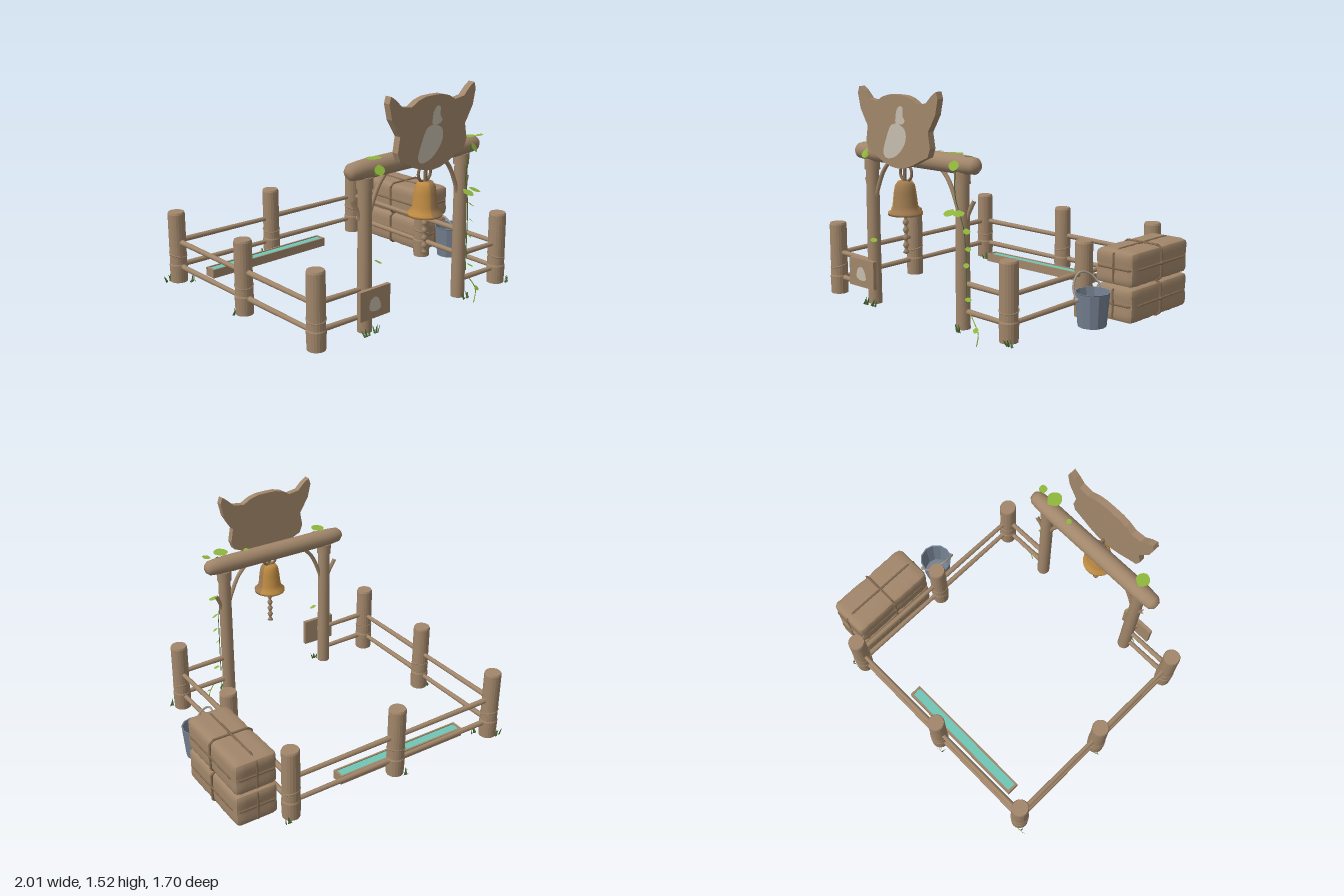
import * as THREE from 'three';

const mat = (name, color, side = THREE.FrontSide) => {
  const m = new THREE.MeshStandardMaterial({ color, side });
  m.name = name;
  return m;
};
const V = (x, y, z) => new THREE.Vector3(x, y, z);

export function createModel() {
  const root = new THREE.Group();
  root.name = 'bellGateFence';
  const wood = mat('wood', 0xa1866a);
  const rope = mat('rope', 0x836a50);
  const paint = mat('worn paint', 0xc6bdac, THREE.DoubleSide);
  const gold = mat('bronze gold', 0xbd8a42, THREE.DoubleSide);
  const bronze = mat('aged bronze', 0x9f7b50, THREE.DoubleSide);
  const metal = mat('bucket metal', 0x748090, THREE.DoubleSide);
  const handleMat = mat('handle', 0xa59c90);
  const water = mat('water', 0x70c6b6);
  const leafMat = mat('leaf green', 0x8fb53c, THREE.DoubleSide);
  const grassMat = mat('grass green', 0x4d7034, THREE.DoubleSide);

  const add = (name, geo, material, x = 0, y = 0, z = 0, parent = root) => {
    const m = new THREE.Mesh(geo, material);
    m.name = name;
    m.position.set(x, y, z);
    parent.add(m);
    return m;
  };
  // Round rod between two points
  const rod = (name, a, b, ra, rb = ra, material = wood, sides = 12) => {
    const d = b.clone().sub(a);
    const m = add(name, new THREE.CylinderGeometry(rb, ra, d.length(), sides), material);
    m.position.copy(a).lerp(b, 0.5);
    m.quaternion.setFromUnitVectors(V(0, 1, 0), d.normalize());
    return m;
  };
  const tube = (name, pts, r, material, closed = false) =>
    add(name, new THREE.TubeGeometry(new THREE.CatmullRomCurve3(pts, closed), 24, r, 7, closed), material);
  const outline = pts => new THREE.Shape(pts.map(p => new THREE.Vector2(p[0], p[1])));
  const smooth = pts => {
    const s = new THREE.Shape();
    const v = pts.map(p => new THREE.Vector2(p[0], p[1]));
    s.moveTo(v[0].x, v[0].y);
    s.splineThru([...v.slice(1), v[0]]);
    return s;
  };

  // Fence posts with a chamfered top and a tilted bark band
  const L = -0.915, R = 0.655, M = -0.13, B = -0.77, C = 0.025, F = 0.67;
  const posts = [[L, B], [M, B], [R, B], [L, -C], [R, -C], [L, F], [R, F]];
  const postProfile = [[0, 0.08], [0.057, 0.08], [0.061, 0.2], [0.057, 0.21], [0.057, 0.555], [0.052, 0.568], [0, 0.568]]
    .map(p => new THREE.Vector2(...p));
  posts.forEach(([x, z], i) => {
    const p = add('fencePost', new THREE.LatheGeometry(postProfile, 20), wood, x, 0, z);
    p.geometry = p.geometry.toNonIndexed();
    p.geometry.computeVertexNormals();
    const band = add('barkBand', new THREE.TorusGeometry(0.056, 0.006, 5, 20), wood, x, 0.27, z);
    band.rotation.set(Math.PI / 2 + 0.2, i % 2 ? 0.15 : -0.15, 0);
  });

  // Two rails on every side, open at the gate
  const spans = [[L, B, M, B], [M, B, R, B], [L, B, L, -C], [L, -C, L, F], [R, B, R, -C], [R, -C, R, F],
    [L, F, -0.54, F], [0.28, F, R, F]];
  for (const [x1, z1, x2, z2] of spans)
    for (const y of [0.36, 0.187]) rod('rail', V(x1, y + 0.004, z1), V(x2, y - 0.004, z2), 0.019, 0.015, wood, 9);

  // Gate posts, collars, curved braces and branch stubs
  for (const [x, s] of [[-0.54, 1], [0.28, -1]]) {
    rod('gatePost', V(x, 0.08, F), V(x, 1.06, F), 0.045, 0.042, wood, 16);
    rod('gateCollar', V(x, 0.97, F), V(x, 1.04, F), 0.05, 0.05, wood, 16);
    tube('gateBrace', [V(x + s * 0.02, 0.76, F), V(x + s * 0.06, 0.87, F), V(x + s * 0.11, 0.97, F), V(x + s * 0.18, 1.05, F)], 0.014, wood);
    const drop = s > 0 ? 0 : -0.03;
    tube('branchStub', [V(x - s * 0.02, 0.75 + drop, F), V(x - s * 0.045, 0.83 + drop, F - 0.01), V(x - s * 0.08, 0.905 + drop, F - 0.02)], 0.014, wood);
  }

  // Gate beam with rounded ends
  const beamProfile = [[0, -0.55], [0.03, -0.545], [0.05, -0.52], [0.056, -0.46], [0.06, -0.39], [0.06, 0.39],
    [0.056, 0.46], [0.05, 0.52], [0.03, 0.545], [0, 0.55]].map(p => new THREE.Vector2(...p));
  add('gateBeam', new THREE.LatheGeometry(beamProfile, 20), wood, M, 1.085, F).rotation.z = -Math.PI / 2;

  // Horned sign board: half outline mirrored
  const half = [[0, 1.481], [0.07, 1.479], [0.129, 1.463], [0.182, 1.433], [0.257, 1.444], [0.305, 1.49], [0.345, 1.516], [0.359, 1.475],
    [0.337, 1.38], [0.295, 1.31], [0.272, 1.275], [0.289, 1.18], [0.268, 1.125], [0.209, 1.1], [0.129, 1.062], [0.06, 1.04], [0, 1.034]];
  const board = [...half, ...half.slice(1, -1).reverse().map(([x, y]) => [-x, y])].map(([x, y]) => [x + M, y]);
  add('signBoard', new THREE.ExtrudeGeometry(outline(board), { depth: 0.045, bevelEnabled: false }), wood, 0, 0, 0.77);
  const patches = [
    [0.816, [[-0.23, 1.208], [-0.187, 1.289], [-0.123, 1.305], [-0.059, 1.273], [-0.053, 1.208], [-0.096, 1.144], [-0.16, 1.1], [-0.23, 1.09], [-0.257, 1.128]]],
    [0.816, [[-0.134, 1.38], [-0.107, 1.412], [-0.075, 1.406], [-0.075, 1.358], [-0.059, 1.326], [-0.086, 1.305], [-0.139, 1.31]]],
    [0.776, [[-0.588, 0.321], [-0.551, 0.337], [-0.519, 0.31], [-0.508, 0.257], [-0.556, 0.246], [-0.599, 0.267]]]];
  for (const [z, pts] of patches) add('paintPatch', new THREE.ShapeGeometry(smooth(pts)), paint, 0, 0, z);

  // Notice board on the gate post
  add('noticeBoard', new THREE.BoxGeometry(0.24, 0.185, 0.026), wood, -0.55, 0.295, 0.762);
  add('noticePeg', new THREE.BoxGeometry(0.03, 0.03, 0.05), wood, -0.55, 0.31, 0.73);

  // Bell in two tones, hanging ring and knotted pull
  const bz = 0.757;
  const bellProfile = [[0, 0.952], [0.045, 0.95], [0.062, 0.925], [0.07, 0.88], [0.079, 0.8], [0.092, 0.768], [0.109, 0.757], [0.107, 0.742], [0.09, 0.744], [0.07, 0.8], [0, 0.92]]
    .reverse().map(p => new THREE.Vector2(...p));
  const a = Math.PI / 180;
  add('bellFront', new THREE.LatheGeometry(bellProfile, 7, -20 * a, 130 * a), bronze, M, 0, bz);
  add('bellBack', new THREE.LatheGeometry(bellProfile, 12, 110 * a, 230 * a), gold, M, 0, bz);
  add('bellRing', new THREE.TorusGeometry(0.052, 0.009, 8, 24), rope, M, 1.0, bz - 0.01);
  rod('bellHanger', V(M, 0.94, bz), V(M, 1.1, bz), 0.011, 0.011, rope, 8);
  rod('bellHook', V(M, 1.09, bz), V(M, 1.09, F), 0.011, 0.011, rope, 8);
  const pull = [];
  for (let i = 0; i <= 24; i++) pull.push(new THREE.Vector2(0.014 + 0.006 * Math.cos(i * Math.PI / 2), 0.5 + i * 0.012));
  add('bellPull', new THREE.LatheGeometry([new THREE.Vector2(0, 0.49), ...pull], 10), wood, M, 0, bz);

  // Water trough
  const tx = -0.25, tz = -0.66;
  add('troughFloor', new THREE.BoxGeometry(0.98, 0.045, 0.08), wood, tx, 0.1125, tz);
  for (const s of [-1, 1]) {
    add('troughSide', new THREE.BoxGeometry(0.985, 0.06, 0.012), wood, tx, 0.12, tz + s * 0.037);
    add('troughEnd', new THREE.BoxGeometry(0.015, 0.06, 0.085), wood, tx + s * 0.484, 0.12, tz);
  }
  add('troughWater', new THREE.BoxGeometry(0.955, 0.008, 0.064), water, tx, 0.14, tz);

  // Two stacked bales, rounded and pinched where the ropes run
  const bx = 0.842, bzc = -0.39;
  for (const y of [0.182, 0.411]) {
    const h = [0.147, 0.114, 0.31];
    const g = new THREE.BoxGeometry(2, 2, 2, 8, 8, 16);
    const p = g.attributes.position;
    for (let i = 0; i < p.count; i++) {
      const v = [p.getX(i), p.getY(i), p.getZ(i)];
      const inner = v.map((c, k) => THREE.MathUtils.clamp(c * h[k], -h[k] + 0.035, h[k] - 0.035));
      const d = V(...v.map((c, k) => c * h[k] - inner[k]));
      if (d.length() > 0) d.setLength(0.035);
      const q = V(...inner).add(d);
      const lump = 1 - 0.04 * Math.exp(-((q.z / 0.04) ** 2)) - 0.02 * Math.sin(q.z * 37 + y * 9) ** 2;
      p.setXYZ(i, q.x * lump, q.y * lump, q.z * (1 - 0.02 * Math.exp(-((q.y / 0.03) ** 2))));
    }
    g.computeVertexNormals();
    add('bale', g, wood, bx, y, bzc);
    // Rope loops: round the waist, across and lengthwise
    const loop = (u, w, f) => [[1, 0.8], [0.8, 1], [-0.8, 1], [-1, 0.8], [-1, -0.8], [-0.8, -1], [0.8, -1], [1, -0.8]].map(([i, j]) => f(i * u, j * w));
    const bind = pts => pts.forEach((q, i) => rod('baleRope', q, pts[(i + 1) % pts.length], 0.008, 0.008, rope, 6));
    bind(loop(0.145, 0.305, (x, z) => V(bx + x, y, bzc + z)));
    bind(loop(0.145, 0.113, (x, dy) => V(bx + x, y + dy, bzc)));
    bind(loop(0.113, 0.308, (dy, z) => V(bx, y + dy, bzc + z)));
    for (const s of [-1, 1]) add('ropeKnot', new THREE.SphereGeometry(0.014, 8, 6), rope, bx + s * 0.145, y, bzc);
  }

  // Bucket with a tipped handle
  const bucketProfile = [[0, 0.08], [0.09, 0.08], [0.109, 0.29], [0.112, 0.296], [0.103, 0.296], [0.086, 0.1], [0, 0.1]].map(p => new THREE.Vector2(...p));
  const bucketGeo = new THREE.LatheGeometry(bucketProfile, 12).toNonIndexed();
  bucketGeo.computeVertexNormals();
  add('bucket', bucketGeo, metal, 0.82, 0, 0.097);
  tube('bucketHandle', [V(0.785, 0.255, 0.205), V(0.75, 0.32, 0.197), V(0.727, 0.38, 0.145), V(0.725, 0.4, 0.09), V(0.75, 0.375, 0.02), V(0.8, 0.31, -0.012), V(0.85, 0.255, -0.012)], 0.007, handleMat);
  for (const [x, z] of [[0.785, 0.203], [0.85, -0.01]]) add('handlePivot', new THREE.SphereGeometry(0.014, 8, 6), handleMat, x, 0.255, z);

  // Vines: thin stems and broad leaves [x, y, z, size, tilt, turn]
  const leafShape = smooth([[0, 0], [0.42, 0.35], [0.38, 0.75], [0, 1], [-0.38, 0.75], [-0.42, 0.35]]);
  const leafGeo = new THREE.ShapeGeometry(leafShape, 4);
  const leaves = [[-0.52, 1.15, 0.66, 0.1, 1.5, 0.2], [-0.5, 1.12, 0.74, 0.07, 2.6, -0.3], [-0.53, 1.1, 0.735, 0.05, 2.8, 0.6],
    [0.28, 1.153, 0.66, 0.11, 1.5, -0.1], [0.29, 1.12, 0.74, 0.07, 2.6, 0.4], [0.36, 1.14, 0.7, 0.06, 1.4, 0.8], [0.1, 1.15, 0.65, 0.04, 1.5, 0],
    [0.25, 0.82, 0.72, 0.08, 2, 0.2], [0.3, 0.82, 0.72, 0.08, 1.9, 0.7], [0.33, 0.71, 0.69, 0.05, 2.2, 0.9], [0.34, 0.6, 0.69, 0.04, 2.2, 1],
    [0.33, 0.5, 0.69, 0.04, 2.3, 0.7], [0.34, 0.29, 0.69, 0.045, 2, 0.9], [0.42, 0.12, 0.695, 0.04, 2.4, 0.2], [-0.5, 0.53, 0.71, 0.05, 2, 1]];
  for (const [x, y, z, size, tilt, turn] of leaves) {
    const leaf = add('vineLeaf', leafGeo, leafMat, x, y, z);
    leaf.scale.setScalar(size);
    leaf.rotation.set(tilt, turn, 0, 'YXZ');
  }
  tube('vineStem', [V(0.29, 1.1, 0.735), V(0.27, 0.9, 0.72), V(0.32, 0.7, 0.7), V(0.33, 0.45, 0.69), V(0.33, 0.25, 0.69)], 0.003, grassMat);
  tube('hangingVine', [V(0.36, 0.19, 0.69), V(0.4, 0.14, 0.695), V(0.43, 0.08, 0.695), V(0.415, 0, 0.695)], 0.003, leafMat);

  // Grass blades fanned at the post feet
  const blade = new THREE.ShapeGeometry(outline([[-0.008, 0], [0.008, 0], [0.005, 0.03], [0, 0.055], [-0.006, 0.03]]));
  const tufts = [[-0.965, -0.815], [-0.18, -0.825], [0.705, -0.825], [-0.96, -0.06], [-0.5, 0.725], [-0.57, 0.73], [0.3, 0.73], [0.71, 0.72], [-0.85, -0.71]];
  tufts.forEach(([x, z], t) => {
    for (let i = 0; i < 4; i++)
      add('grassBlade', blade, grassMat, x + 0.012 * (i - 1.5), 0.07, z).rotation.set(0.25 * Math.sin(t + i), i * 0.9 + t, 0.3 * (1.5 - i));
  });

  return root;
}
